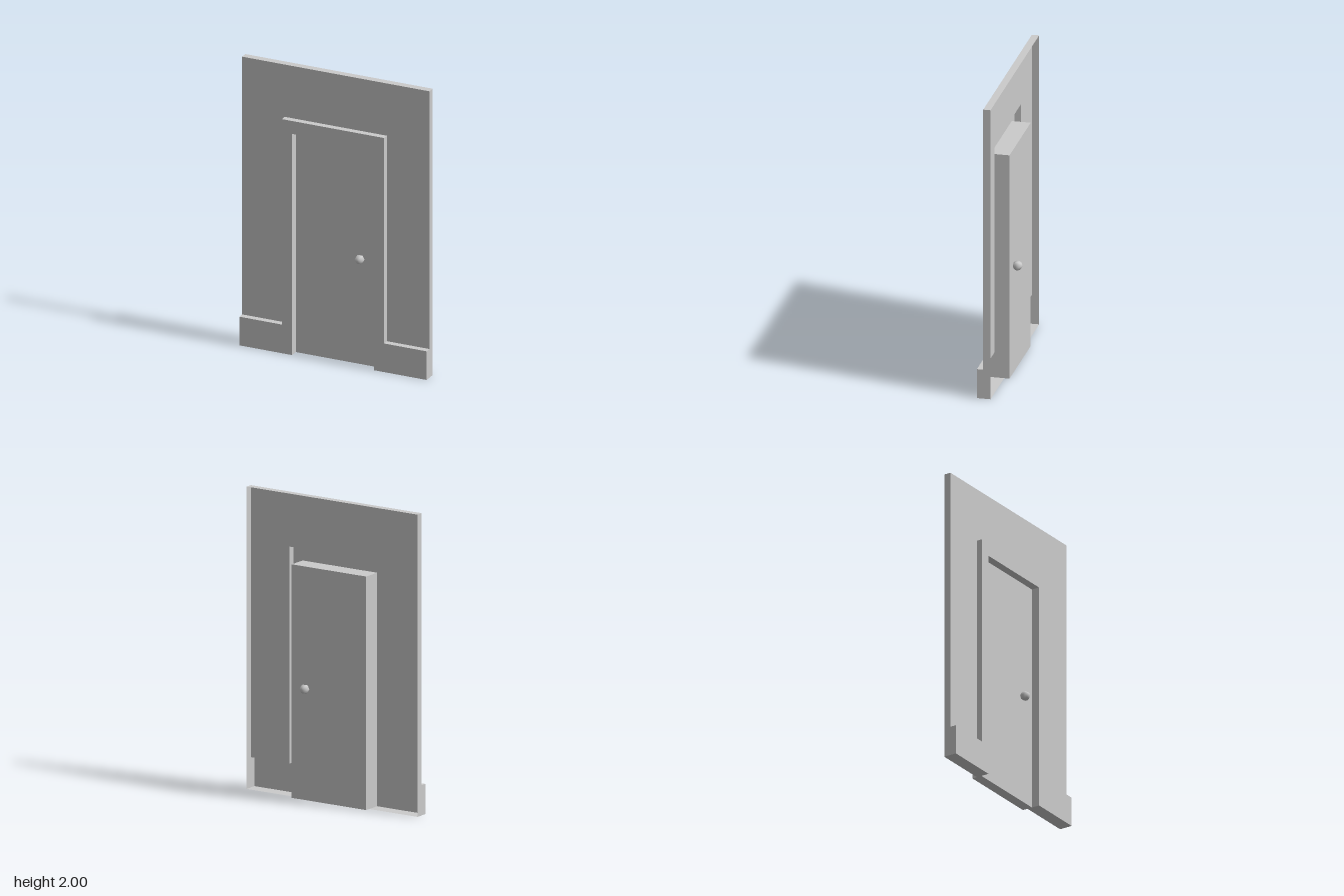
import * as THREE from 'three';

const W = 0.665, H = 2;              // wall half width, height
const TRIM_W = 0.363, TRIM_H = 1.635; // outer edge of door trim
const DOOR_W = 0.29, DOOR_H = 1.545;  // door opening
const SKIRT = 0.2;                    // skirting height
const Z_WALL = 0.048, Z_TRIM = 0.09, Z_DOOR = 0.035;

const shell = new THREE.MeshStandardMaterial({ color: 0xcccccc, side: THREE.DoubleSide, flatShading: true });
const solid = new THREE.MeshStandardMaterial({ color: 0xcccccc });

// Flat sheet facing +z
function sheet(name, points, z) {
  const shape = new THREE.Shape(points.map(([x, y]) => new THREE.Vector2(x, y)));
  const mesh = new THREE.Mesh(new THREE.ShapeGeometry(shape), shell);
  mesh.position.z = z;
  mesh.name = name;
  return mesh;
}

// Open band: a polyline in x/y swept from z0 to z1
function band(name, points, z0, z1) {
  const pos = [];
  for (let i = 0; i + 1 < points.length; i++) {
    const [ax, ay] = points[i], [bx, by] = points[i + 1];
    pos.push(ax, ay, z0, bx, by, z0, bx, by, z1, ax, ay, z0, bx, by, z1, ax, ay, z1);
  }
  const geo = new THREE.BufferGeometry();
  geo.setAttribute('position', new THREE.Float32BufferAttribute(pos, 3));
  geo.computeVertexNormals();
  const mesh = new THREE.Mesh(geo, shell);
  mesh.name = name;
  return mesh;
}

export function createModel() {
  const model = new THREE.Group();
  model.name = 'doorWall';

  // Hollow-backed wall panel with a rim along the top and sides
  const wall = new THREE.Group();
  wall.name = 'wall';
  wall.add(
    sheet('wallFace', [[-W, SKIRT], [-TRIM_W, SKIRT], [-TRIM_W, TRIM_H], [TRIM_W, TRIM_H],
      [TRIM_W, SKIRT], [W, SKIRT], [W, H], [-W, H]], Z_WALL),
    band('wallRim', [[W, SKIRT], [W, H], [-W, H], [-W, SKIRT]], 0, Z_WALL)
  );
  model.add(wall);

  // Door trim and skirting share one raised face
  const trim = new THREE.Group();
  trim.name = 'trimAndSkirting';
  trim.add(
    sheet('trimFace', [[-W, 0], [-DOOR_W, 0], [-DOOR_W, DOOR_H], [DOOR_W, DOOR_H], [DOOR_W, 0], [W, 0],
      [W, SKIRT], [TRIM_W, SKIRT], [TRIM_W, TRIM_H], [-TRIM_W, TRIM_H], [-TRIM_W, SKIRT], [-W, SKIRT]], Z_TRIM),
    band('trimOuterEdge', [[W, SKIRT], [TRIM_W, SKIRT], [TRIM_W, TRIM_H],
      [-TRIM_W, TRIM_H], [-TRIM_W, SKIRT], [-W, SKIRT]], Z_WALL, Z_TRIM),
    band('doorReveal', [[DOOR_W, 0], [DOOR_W, DOOR_H], [-DOOR_W, DOOR_H], [-DOOR_W, 0]], Z_DOOR, Z_TRIM)
  );
  for (const s of [-1, 1]) {
    trim.add(band('skirtingBase', [[s * DOOR_W, 0], [s * W, 0], [s * W, SKIRT]], 0, Z_TRIM));
  }
  model.add(trim);

  // Door leaf
  const door = new THREE.Mesh(new THREE.BoxGeometry(DOOR_W * 2, DOOR_H, Z_DOOR * 2), solid);
  door.position.y = DOOR_H / 2;
  door.name = 'door';
  model.add(door);

  // Six-sided knobs on both faces, poles along z
  for (const s of [-1, 1]) {
    const knob = new THREE.Mesh(new THREE.SphereGeometry(0.032, 6, 12), solid);
    knob.rotation.x = Math.PI / 2;
    knob.position.set(0.174, 0.74, s * 0.06);
    knob.name = s > 0 ? 'frontKnob' : 'backKnob';
    model.add(knob);
  }

  // Centre the depth on z = 0
  const box = new THREE.Box3().setFromObject(model);
  const mid = (box.min.z + box.max.z) / 2;
  for (const part of model.children) part.position.z -= mid;
  return model;
}
